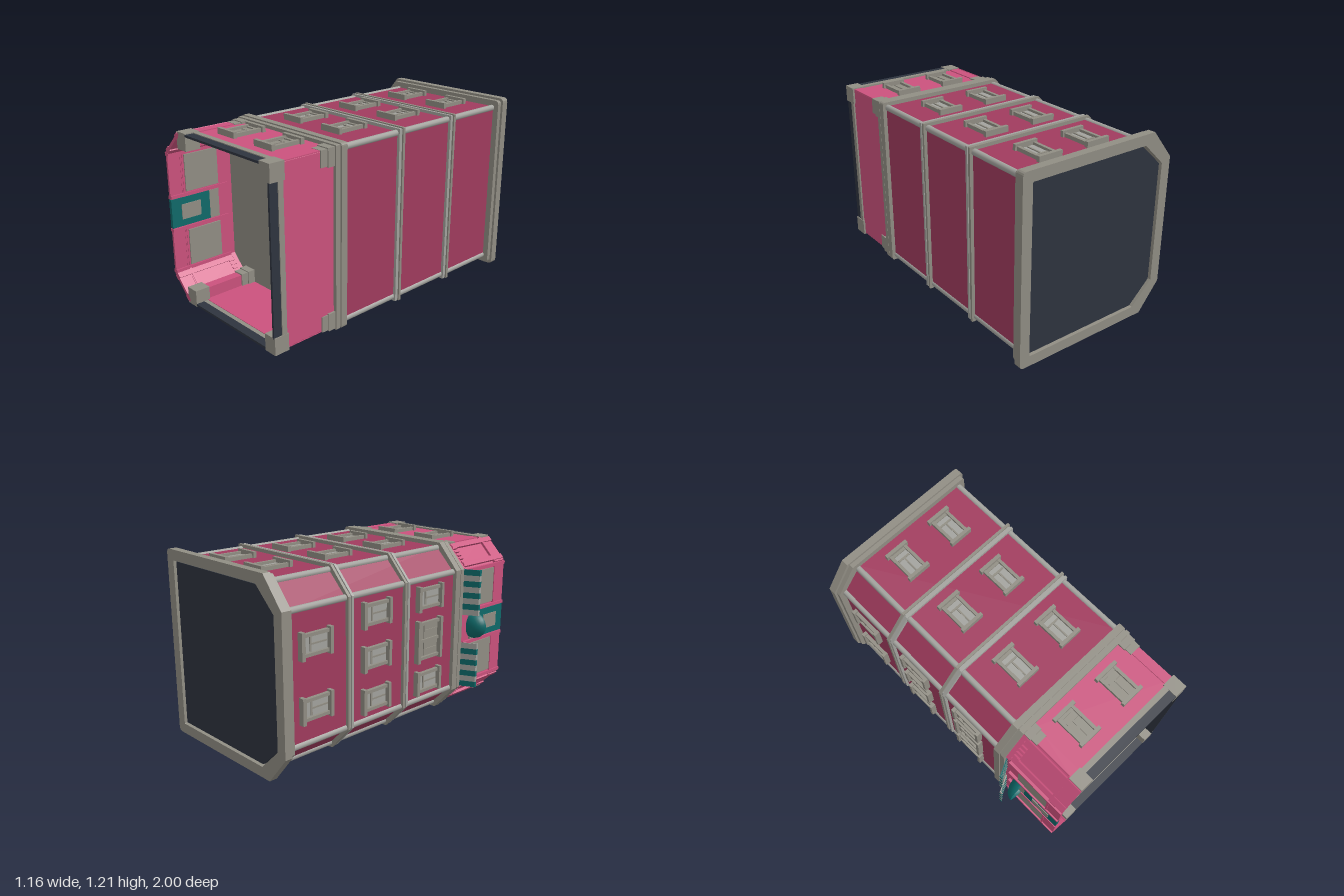
import * as THREE from 'three';

const mat = (name, color, side = THREE.FrontSide) => {
  const m = new THREE.MeshStandardMaterial({ color, side });
  m.name = name;
  return m;
};

export function createModel() {
  const root = new THREE.Group();
  root.name = 'building';
  const M = {
    brick: mat('dark pink wall', 0xa13b5e),
    shop: mat('light pink wall', 0xcb527d, THREE.DoubleSide),
    stone: mat('grey stone', 0x918e84),
    trim: mat('light grey trim', 0xa3a39e),
    slate: mat('dark slate', 0x2e343f),
    teal: mat('teal', 0x0f6a6a, THREE.DoubleSide),
  };
  const CY = 0.605;

  const add = (parent, name, geo, material) => {
    const m = new THREE.Mesh(geo, material);
    m.name = name;
    parent.add(m);
    return m;
  };
  const box = (parent, name, material, w, h, d, x, y, z) => {
    const m = add(parent, name, new THREE.BoxGeometry(w, h, d), material);
    m.position.set(x, y, z);
    return m;
  };

  // Floor plan with two cut corners, grown outwards by d
  const plan = (d, Type = THREE.Shape, r = 0.004) => {
    const xl = -0.475 - d, xr = 0.525 + d, h = 0.55 + d, c = 0.4 + 0.414 * d, xc = -0.325 - d;
    const s = new Type();
    s.moveTo(xl, CY - c);
    s.lineTo(xc, CY - h);
    s.lineTo(xr - r, CY - h);
    s.quadraticCurveTo(xr, CY - h, xr, CY - h + r);
    s.lineTo(xr, CY + h - r);
    s.quadraticCurveTo(xr, CY + h, xr - r, CY + h);
    s.lineTo(xc, CY + h);
    s.lineTo(xl, CY + c);
    s.closePath();
    return s;
  };
  // Slab of the plan between two z values, optionally hollow
  const slab = (name, material, d, z0, z1, hole, r) => {
    const s = plan(d, THREE.Shape, r);
    if (hole !== undefined) s.holes.push(plan(hole, THREE.Path));
    const g = new THREE.ExtrudeGeometry(s, { depth: z1 - z0, bevelEnabled: false, curveSegments: 4 });
    g.translate(0, 0, z0);
    return add(root, name, g, material);
  };

  // Main walls, roof and cornice
  slab('upperWalls', M.brick, 0, -0.94, 0.48);
  slab('groundWalls', M.shop, 0, 0.53, 0.915, -0.01);
  slab('roof', M.slate, -0.02, -0.985, -0.95);
  slab('corniceTop', M.stone, 0.055, -1, -0.95, -0.012, 0.03);
  slab('corniceBase', M.stone, 0.04, -0.95, -0.92, undefined, 0.025);
  // Bands between floors
  for (const z of [-0.495, -0.02]) {
    slab('bandUpper', M.stone, 0.022, z, z + 0.018);
    slab('bandCore', M.trim, 0.012, z + 0.018, z + 0.03);
    slab('bandLower', M.trim, 0.019, z + 0.03, z + 0.048);
  }
  slab('mainBandTop', M.stone, 0.026, 0.46, 0.505, undefined, 0.02);
  slab('mainBandMiddle', M.stone, 0.016, 0.505, 0.515);
  slab('mainBandBottom', M.stone, 0.022, 0.515, 0.545);

  // Rounded trim on the six corners
  for (const s of [-1, 1])
    for (const [x, y] of [[0.515, 0.54], [-0.33, 0.54], [-0.468, 0.4]]) {
      const t = add(root, 'cornerTrim', new THREE.CylinderGeometry(0.02, 0.02, 1.39, 10), M.trim);
      t.rotation.x = Math.PI / 2;
      t.position.set(x, CY + s * y, -0.235);
    }

  // Group on a wall: local y is the building's up (-z), local z points outwards
  const up = new THREE.Vector3(0, 0, -1);
  const onWall = (name, nx, ny, x, y, z) => {
    const g = new THREE.Group();
    g.name = name;
    const out = new THREE.Vector3(nx, ny, 0).normalize();
    const basis = new THREE.Matrix4().makeBasis(up.clone().cross(out), up, out);
    g.quaternion.setFromRotationMatrix(basis);
    g.position.set(x, y, z);
    root.add(g);
    return g;
  };

  // Sash window centred on its group
  const windowOn = (g, w, paneMat, bays = 1) => {
    box(g, 'lintel', M.stone, w + 0.03, 0.024, 0.036, 0, 0.103, 0.018);
    box(g, 'sill', M.stone, w + 0.025, 0.022, 0.038, 0, -0.104, 0.019);
    for (const s of [-1, 1]) box(g, 'jamb', M.stone, 0.02, 0.19, 0.024, s * (w / 2 - 0.01), 0, 0.012);
    box(g, 'pane', paneMat, w - 0.03, 0.19, 0.008, 0, 0, 0.004);
    box(g, 'headRail', M.stone, w - 0.03, 0.018, 0.016, 0, 0.082, 0.008);
    box(g, 'crossRail', M.stone, w - 0.05, 0.012, 0.014, 0, 0.035, 0.007);
    for (let i = 0; i < bays; i++)
      box(g, 'mullion', M.stone, 0.01, 0.12, 0.014, (i - (bays - 1) / 2) * (w / bays), -0.025, 0.007);
    for (let i = 1; i < bays; i++) box(g, 'post', M.stone, 0.02, 0.19, 0.02, (i - bays / 2) * (w / bays), 0, 0.01);
  };
  const floors = [-0.735, -0.26, 0.215, 0.715];
  for (const s of [-1, 1])
    floors.forEach((z, i) => {
      for (const x of [-0.085, 0.265])
        windowOn(onWall('sideWindow', 0, s, x, CY + s * 0.55, z), 0.135, i < 3 ? M.trim : M.stone);
    });
  [[-0.19, 0.19], [-0.27, 0, 0.27], [-0.28, 0, 0.28]].forEach((row, i) => {
    for (const y of row) {
      const wide = i === 2 && y === 0;
      windowOn(onWall('facadeWindow', -1, 0, -0.475, CY + y, floors[i]), wide ? 0.25 : 0.135, wide ? M.stone : M.trim, wide ? 2 : 1);
    }
  });

  // Ground floor corner pillars
  for (const s of [-1, 1])
    for (const x of [-0.295, 0.493]) {
      const y = CY + s * 0.508;
      box(root, 'pillarFoot', M.stone, 0.09, 0.108, 0.1, x, y, 0.95);
      box(root, 'pillarShaft', M.shop, 0.062, 0.09, 0.27, x, y + s * 0.003, 0.77);
      box(root, 'pillarNeck', M.stone, 0.078, 0.1, 0.05, x, y, 0.617);
      box(root, 'pillarCapital', M.stone, 0.092, 0.112, 0.05, x, y, 0.57);
    }
  // Plinth along the sides and the rear
  for (const s of [-1, 1]) {
    box(root, 'plinthLedge', M.stone, 0.7, 0.018, 0.035, 0.1, CY + s * 0.552, 0.927);
    box(root, 'plinth', M.slate, 0.7, 0.014, 0.056, 0.1, CY + s * 0.549, 0.972);
  }
  box(root, 'rearLedge', M.stone, 0.018, 0.92, 0.035, 0.527, CY, 0.927);
  box(root, 'rearPlinth', M.slate, 0.014, 0.92, 0.056, 0.524, CY, 0.972);

  // Cut corner walls of the shop: base, posts, panel frame and ridges
  for (const s of [-1, 1]) {
    const g = onWall('cutCorner', -1, s, -0.4, CY + s * 0.475, 0.77);
    box(g, 'base', M.shop, 0.212, 0.1, 0.02, 0, -0.18, 0);
    box(g, 'baseCap', M.shop, 0.212, 0.014, 0.032, 0, -0.13, 0);
    box(g, 'header', M.shop, 0.212, 0.03, 0.024, 0, 0.21, 0);
    for (const t of [-1, 1]) box(g, 'post', M.shop, 0.035, 0.42, 0.036, t * 0.075, -0.02, 0);
    for (let i = 0; i < 7; i++) box(g, 'ridge', M.shop, 0.012, 0.045, 0.036, (i - 3) * 0.028, 0.175, 0);
  }

  // Shop front
  const front = onWall('shopFront', -1, 0, -0.475, CY, 0.77);
  for (const s of [-1, 1]) {
    box(front, 'base', M.shop, 0.305, 0.1, 0.016, s * 0.25, -0.18, 0);
    box(front, 'baseCap', M.shop, 0.305, 0.014, 0.026, s * 0.25, -0.128, 0);
    box(front, 'shopWindow', M.stone, 0.24, 0.24, 0.028, s * 0.25, -0.002, -0.006);
    for (const x of [0.11, 0.39]) box(front, 'post', M.shop, 0.022, 0.42, 0.034, s * x, -0.02, 0);
    // Striped awning
    for (let i = 0; i < 8; i++) {
      const m = i % 2 ? M.teal : M.trim, x = s * (0.097 + 0.0387 * (i + 0.5));
      const top = box(front, 'awningStripe', m, 0.0387, 0.006, 0.118, x, 0.193, 0.055);
      top.rotation.x = 0.46;
      box(front, 'awningEdge', m, 0.0387, 0.018, 0.006, x, 0.162, 0.107);
    }
  }
  box(front, 'door', M.teal, 0.19, 0.28, 0.024, 0, -0.09, 0);
  box(front, 'doorPane', M.stone, 0.1, 0.14, 0.034, 0, -0.09, 0);
  box(front, 'transom', M.stone, 0.19, 0.07, 0.026, 0, 0.085, 0);

  // Domed canopy over the door
  const dome = add(front, 'doorCanopy', new THREE.SphereGeometry(1, 16, 8, 0, Math.PI, 0, Math.PI / 2), M.teal);
  dome.scale.set(0.094, 0.078, 0.11);
  dome.position.y = 0.075;

  return root;
}
